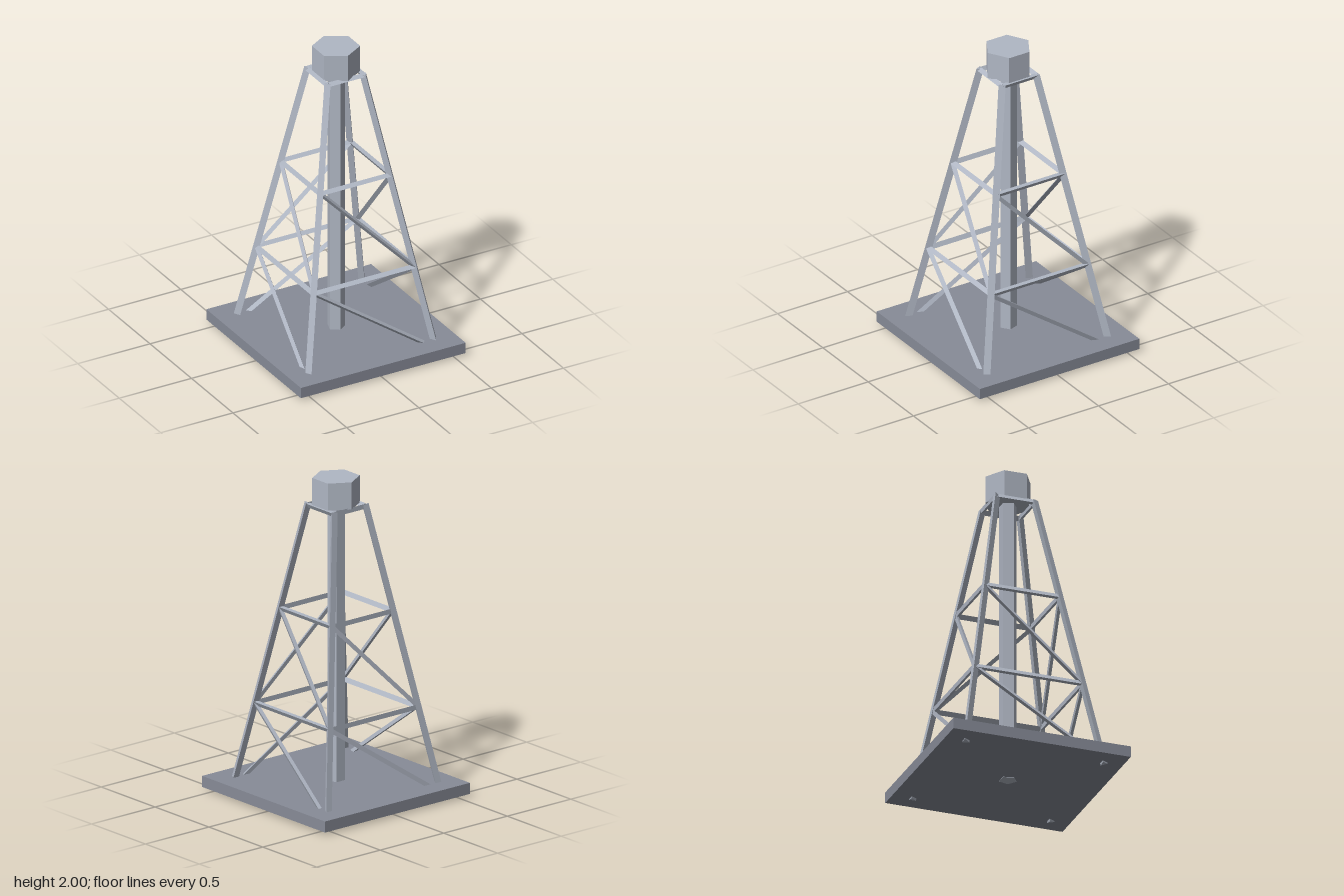
import * as THREE from 'three';

const steel = new THREE.MeshStandardMaterial({ color: 0xb0b7c4, flatShading: true });
steel.name = 'light steel';
const slab = new THREE.MeshStandardMaterial({ color: 0x888c98, flatShading: true });
slab.name = 'base grey';

const UP = new THREE.Vector3(0, 1, 0);

// Straight prism running from a to b
function strut(name, a, b, radius, sides = 3) {
  const dir = b.clone().sub(a);
  const mesh = new THREE.Mesh(new THREE.CylinderGeometry(radius, radius, dir.length(), sides), steel);
  mesh.position.copy(a).add(b).multiplyScalar(0.5);
  mesh.quaternion.setFromUnitVectors(UP, dir.normalize());
  mesh.name = name;
  return mesh;
}

export function createModel() {
  const model = new THREE.Group();
  model.name = 'latticeTower';

  // Base slab
  const base = new THREE.Mesh(new THREE.BoxGeometry(1.14, 0.07, 1.14), slab);
  base.position.y = 0.05;
  base.name = 'base';
  model.add(base);

  // Central column and hexagonal head
  const v = (x, y, z) => new THREE.Vector3(x, y, z);
  model.add(strut('column', v(0, 0.012, 0), v(0, 1.84, 0), 0.055, 5));
  model.add(strut('head', v(0, 1.828, 0), v(0, 2, 0), 0.145, 6));

  // Leg corners in ring order; the legs lean inward with height
  const corners = [[1, 1], [-1, 1], [-1, -1], [1, -1]];
  const low = 0.004, high = 1.83;
  const legPoint = (i, y) => {
    const [sx, sz] = corners[i % 4];
    const s = THREE.MathUtils.mapLinear(y, low, high, 0.445, 0.122);
    return v(sx * s, y, sz * s);
  };
  const levels = [low, 0.56, 1.163, 1.82];

  for (let i = 0; i < 4; i++) {
    model.add(strut('leg', legPoint(i, low), legPoint(i, high), 0.025));
    // Horizontal rails
    for (const y of levels.slice(1)) {
      model.add(strut('rail', legPoint(i, y), legPoint(i + 1, y), 0.018));
    }
    // Diagonal braces in the two lower bays
    for (let k = 0; k < 2; k++) {
      const foot = k === 0 ? 0.02 : levels[k];
      model.add(strut('brace', legPoint(i, foot), legPoint(i + 1, levels[k + 1]), 0.016));
    }
  }
  return model;
}
